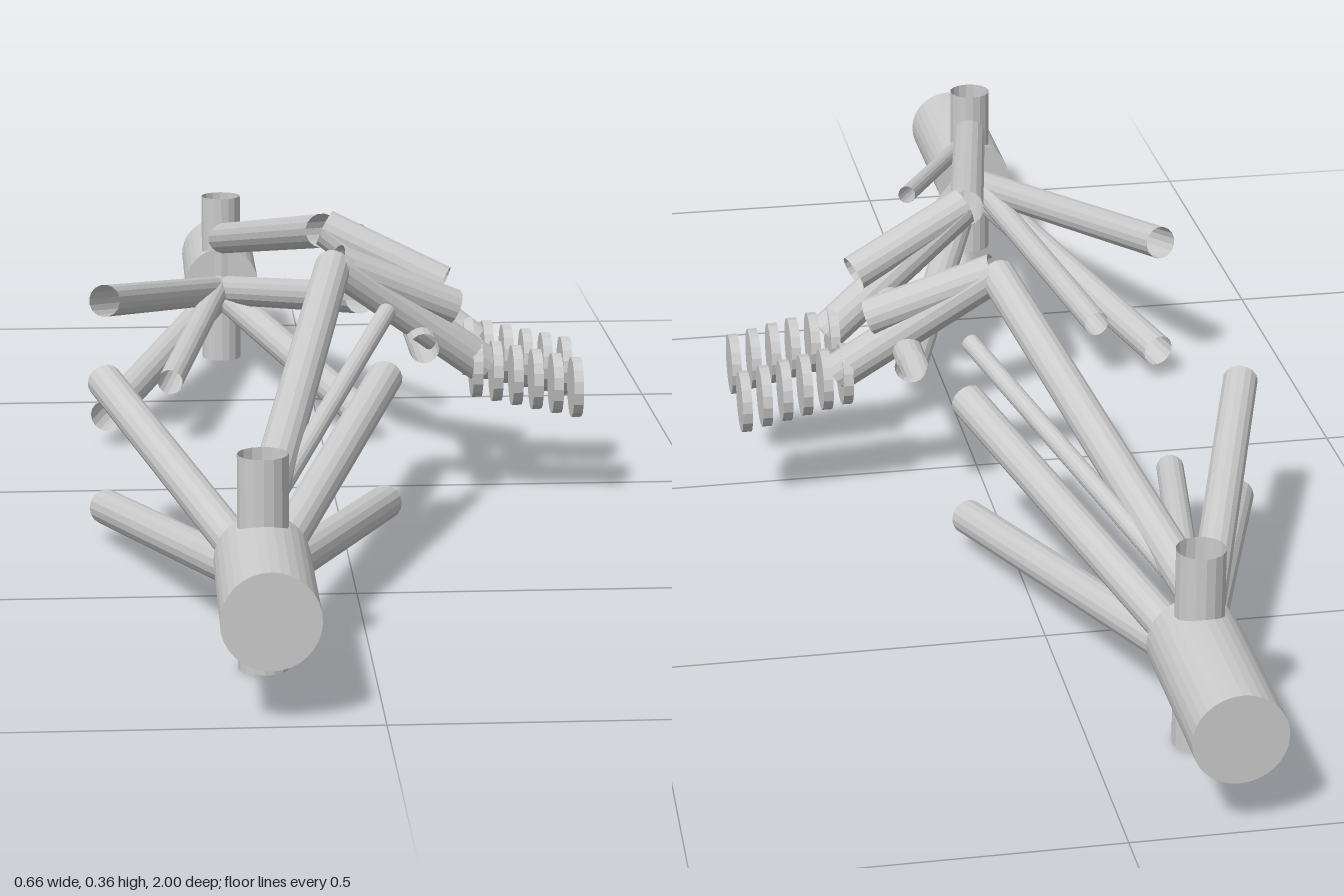
import * as THREE from 'three';

const material = new THREE.MeshStandardMaterial({ color: 0xcccccc, flatShading: true, side: THREE.DoubleSide });

// Straight cylinder between two points, open-ended unless capped
function rod(name, from, to, radius, { sides = 16, open = true } = {}) {
  const a = new THREE.Vector3(...from);
  const b = new THREE.Vector3(...to);
  const dir = b.clone().sub(a);
  const geometry = new THREE.CylinderGeometry(radius, radius, dir.length(), sides, 1, open);
  const mesh = new THREE.Mesh(geometry, material);
  mesh.name = name;
  mesh.position.copy(a).add(b).multiplyScalar(0.5);
  mesh.quaternion.setFromUnitVectors(new THREE.Vector3(0, 1, 0), dir.normalize());
  return mesh;
}

// One wheel's suspension; side is +1 (front, +z) or -1 (back, -z)
function createCorner(side) {
  const group = new THREE.Group();
  group.name = side > 0 ? 'frontSuspension' : 'backSuspension';
  const p = (x, y, z) => [x, y, z * side];
  const hubX = -0.128;
  const hubZ = 0.788;

  // Axle hub and upright
  group.add(rod('hub', p(hubX, 0.122, 0.76), p(hubX, 0.122, 1), 0.057, { sides: 32, open: false }));
  group.add(rod('upright', p(hubX, 0, hubZ), p(hubX, 0.258, hubZ), 0.03));

  // Upper and lower wishbone arms
  for (const x of [-0.31, 0.054]) {
    group.add(rod('upperArm', p(hubX, 0.107, hubZ), p(x, 0.213, 0.24), 0.023));
    group.add(rod('lowerArm', p(hubX, 0.104, hubZ), p(x, 0.044, 0.24), 0.023));
  }

  // Thin links and the push rod
  group.add(rod('tieRod', p(hubX, 0.12, hubZ), p(-0.218, 0.093, 0.24), 0.018));
  group.add(rod('steeringLink', p(hubX, 0.182, hubZ), p(0.054, 0.304, 0.26), 0.012));
  group.add(rod('pushRod', p(hubX, 0.19, hubZ), p(-0.007, 0.335, 0.12), 0.024));

  // Rocker and damper
  group.add(rod('rocker', p(-0.003, 0.34, 0.12), p(0.157, 0.268, 0.075), 0.025));
  group.add(rod('damper', p(0, 0.337, 0.12), p(0.2, 0.186, 0.064), 0.026));

  // Spring coils, stepping down along x
  for (let i = 0; i < 6; i++) {
    const x = 0.19 + i * 0.0272;
    const y = 0.182 - i * 0.006;
    group.add(rod('springCoil', p(x - 0.0065, y, 0.062), p(x + 0.0065, y, 0.062), 0.041, { open: false }));
  }
  return group;
}

export function createModel() {
  const model = new THREE.Group();
  model.name = 'suspension';
  model.add(createCorner(1), createCorner(-1));
  // Cross tube joining both sides
  model.add(rod('antiRollBar', [0.112, 0.23, -0.155], [0.112, 0.23, 0.155], 0.02));
  return model;
}
